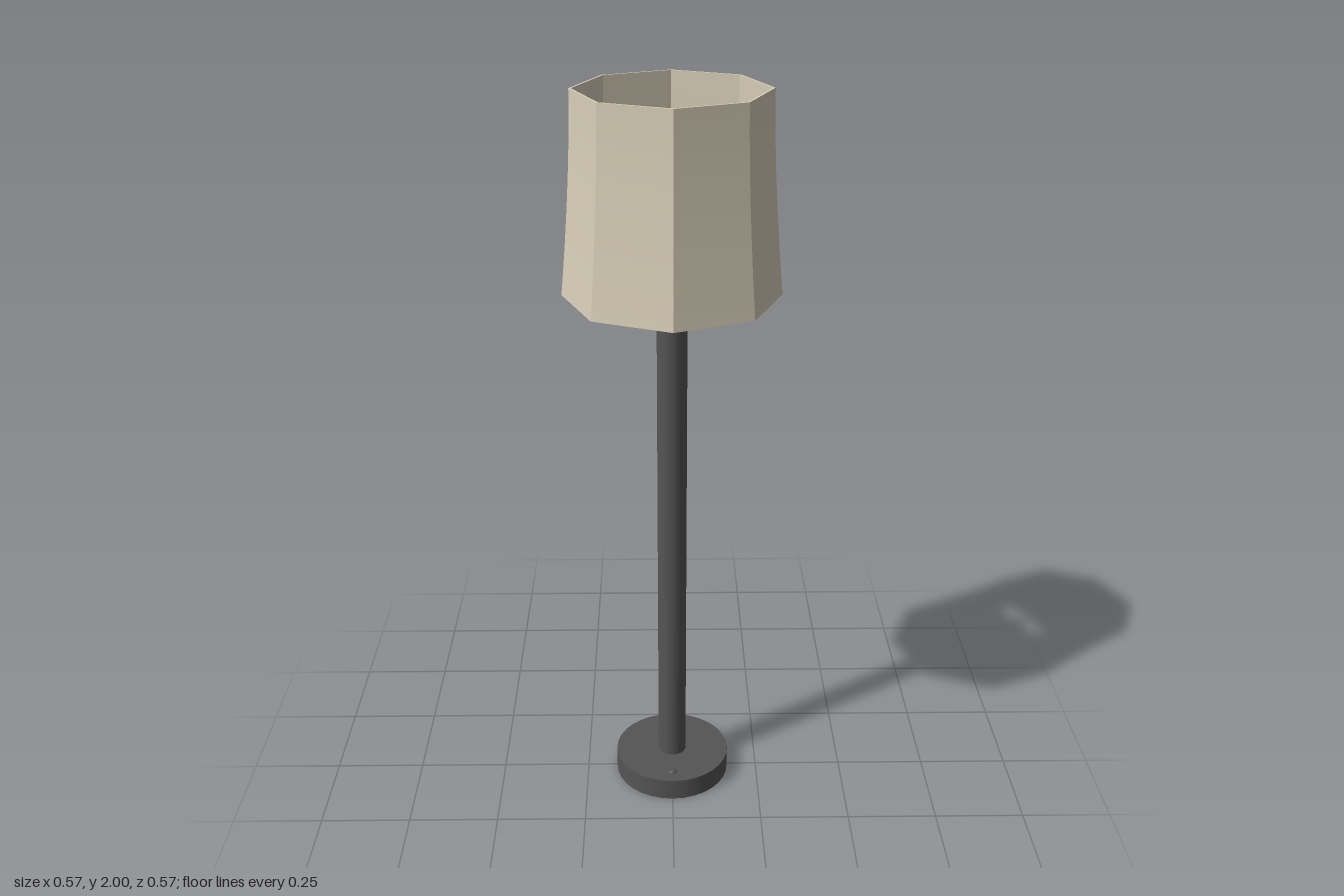
import * as THREE from 'three';
import { toCreasedNormals } from 'three/addons/utils/BufferGeometryUtils.js';

const metal = new THREE.MeshStandardMaterial({ color: 0x555555, side: THREE.DoubleSide });
const fabric = new THREE.MeshStandardMaterial({ color: 0xd8cfb8, side: THREE.DoubleSide });

const BASE_R = 0.164, BASE_H = 0.063;
const SHADE_BOTTOM = 1.48, SHADE_TOP = 2, WALL = 0.006;

function add(group, name, geometry, material, y = 0, z = 0) {
  const mesh = new THREE.Mesh(geometry, material);
  mesh.name = name;
  mesh.position.set(0, y, z);
  group.add(mesh);
  return mesh;
}

// Closed wall profile: up the flared outside, over the rim, down the inside
function shadeGeometry() {
  const steps = 8, outer = [], inner = [];
  for (let i = 0; i <= steps; i++) {
    const t = i / steps;
    const r = 0.249 + 0.034 * Math.pow(1 - t, 1.6);
    const y = THREE.MathUtils.lerp(SHADE_BOTTOM, SHADE_TOP, t);
    outer.push(new THREE.Vector2(r, y));
    inner.unshift(new THREE.Vector2(r - WALL, y));
  }
  const lathe = new THREE.LatheGeometry([...outer, ...inner, outer[0].clone()], 8);
  return toCreasedNormals(lathe, Math.PI / 6);
}

export function createModel() {
  const lamp = new THREE.Group();
  lamp.name = 'floorLamp';

  // Hollow base: side wall and top plate, open underneath
  add(lamp, 'baseWall', new THREE.CylinderGeometry(BASE_R, BASE_R, BASE_H, 32, 1, true), metal, BASE_H / 2);
  const plate = new THREE.CircleGeometry(BASE_R, 32).rotateX(-Math.PI / 2).rotateY(Math.PI / 2);
  add(lamp, 'basePlate', plate, metal, BASE_H);

  // Domed screws on the base, front and back
  for (const side of [1, -1]) {
    const dome = new THREE.SphereGeometry(0.012, 16, 6, 0, Math.PI * 2, 0, Math.PI / 2).scale(1, 0.5, 1);
    add(lamp, side > 0 ? 'frontScrew' : 'backScrew', dome, metal, BASE_H, side * 0.119);
  }

  // Open tube pole reaching up inside the shade
  const poleTop = 1.72;
  add(lamp, 'pole', new THREE.CylinderGeometry(0.04, 0.04, poleTop - BASE_H, 32, 1, true), metal, (poleTop + BASE_H) / 2);

  // Eight-sided flared shade, open at both ends
  add(lamp, 'shade', shadeGeometry(), fabric);

  return lamp;
}
